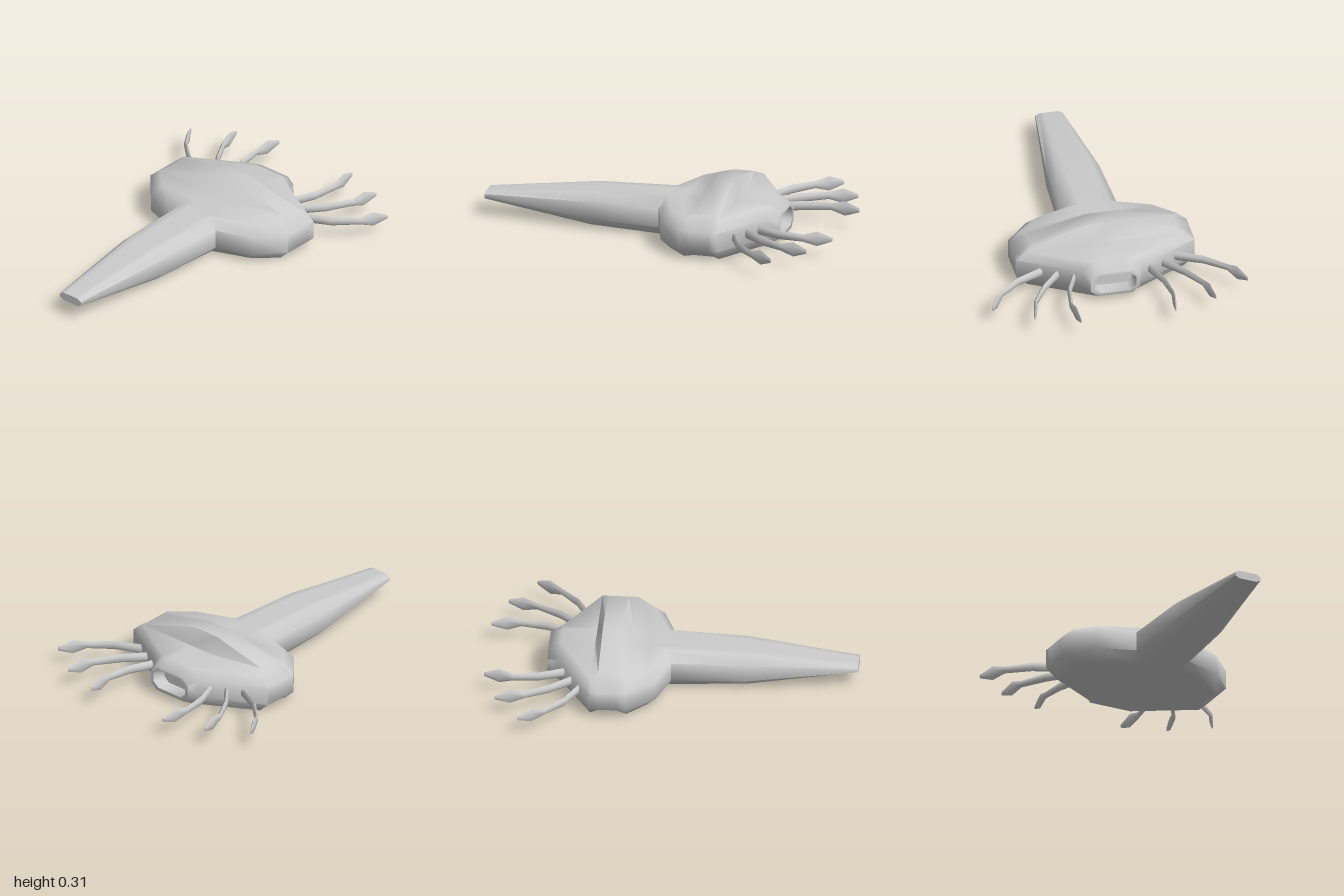
import * as THREE from 'three';
import { toCreasedNormals } from 'three/addons/utils/BufferGeometryUtils.js';

const material = new THREE.MeshStandardMaterial({ color: 0xcccccc });

// Skin a list of rings (equal point counts, counter-clockwise seen from the first ring) and cap both ends.
function loft(rings, crease) {
  const n = rings[0].length;
  const pos = rings.flat().flatMap((p) => p.toArray());
  const index = [];
  for (let r = 0; r < rings.length - 1; r++) {
    for (let i = 0; i < n; i++) {
      const a = r * n + i, b = r * n + (i + 1) % n;
      index.push(a, a + n, b, b, a + n, b + n);
    }
  }
  const last = (rings.length - 1) * n;
  for (let i = 1; i < n - 1; i++) {
    index.push(0, i, i + 1);
    index.push(last, last + i + 1, last + i);
  }
  const geometry = new THREE.BufferGeometry();
  geometry.setAttribute('position', new THREE.Float32BufferAttribute(pos, 3));
  geometry.setIndex(index);
  return toCreasedNormals(geometry, crease);
}

function addMesh(parent, name, geometry) {
  const mesh = new THREE.Mesh(geometry, material);
  mesh.name = name;
  parent.add(mesh);
}

// Chamfered hull section; the middle of the top may rise to a crest.
function hullRing({ z, w, zt = z, wt, y, crest = y[3] }) {
  const inner = Math.min(0.08, wt * 0.6);
  const right = [
    [wt, y[0], zt], [w, y[1], z], [w, y[2], z], [wt, y[3], zt], [inner, crest, zt],
  ];
  const left = right.slice().reverse().map(([x, h, d]) => [-x, h, d]);
  return [...right, ...left].map((p) => new THREE.Vector3(...p));
}

function hull() {
  const full = [0, 0.055, 0.16, 0.212];
  const hump = [0, 0.055, 0.16, 0.23];
  const stations = [
    // long tapering nose
    { z: 1, w: 0.075, wt: 0.05, y: [0.09, 0.102, 0.123, 0.135] },
    { z: 0.4, w: 0.145, wt: 0.095, y: [0.015, 0.06, 0.158, 0.2] },
    { z: 0, w: 0.16, zt: -0.03, wt: 0.105, y: full },
    // wide body
    { z: -0.07, w: 0.36, zt: -0.115, wt: 0.32, y: full },
    { z: -0.215, w: 0.49, zt: -0.22, wt: 0.43, y: full },
    { z: -0.27, w: 0.49, wt: 0.4, y: hump, crest: 0.305 },
    { z: -0.375, w: 0.49, wt: 0.4, y: hump, crest: 0.305 },
    { z: -0.42, w: 0.49, zt: -0.415, wt: 0.43, y: full },
    // tail with a recessed nozzle
    { z: -0.6, w: 0.165, wt: 0.11, y: full },
    { z: -0.667, w: 0.135, wt: 0.095, y: [0.035, 0.07, 0.14, 0.177] },
    { z: -0.667, w: 0.115, wt: 0.08, y: [0.052, 0.08, 0.132, 0.16] },
    { z: -0.59, w: 0.105, wt: 0.075, y: [0.055, 0.082, 0.13, 0.157] },
  ];
  return loft(stations.map(hullRing), 1.1);
}

// Thin upright blade following a plan path, ending in a spear-shaped tip.
function tailBlade(path, side) {
  const points = path.map(([x, z]) => new THREE.Vector3(x * side, 0.11, z));
  const tip = points[points.length - 1];
  points.splice(points.length - 1, 0, points[points.length - 2].clone().lerp(tip, 0.48));
  const heights = [0.027, 0.025, 0.02, 0.041, 0.011];
  const thickness = [0.012, 0.011, 0.009, 0.009, 0.003];
  const up = new THREE.Vector3(0, 1, 0);
  const section = [[0, -1], [1, -0.45], [1, 0.45], [0, 1], [-1, 0.45], [-1, -0.45]];
  const rings = points.map((p, i) => {
    const before = points[Math.max(i - 1, 0)];
    const after = points[Math.min(i + 1, points.length - 1)];
    const across = after.clone().sub(before).normalize().cross(up);
    return section.map(([u, v]) => p.clone()
      .addScaledVector(across, u * thickness[i])
      .addScaledVector(up, v * heights[i]));
  });
  return loft(rings, 1.1);
}

export function createModel() {
  const model = new THREE.Group();
  model.name = 'craft';
  addMesh(model, 'hull', hull());

  // three curved blades on each side of the tail
  const paths = {
    inner: [[0.2, -0.55], [0.26, -0.7], [0.28, -0.84], [0.26, -1]],
    middle: [[0.275, -0.51], [0.385, -0.64], [0.46, -0.77], [0.498, -0.925]],
    outer: [[0.35, -0.472], [0.51, -0.55], [0.62, -0.65], [0.702, -0.785]],
  };
  for (const [name, path] of Object.entries(paths)) {
    for (const side of [1, -1]) {
      addMesh(model, `${name}TailBlade${side > 0 ? 'Left' : 'Right'}`, tailBlade(path, side));
    }
  }
  return model;
}
